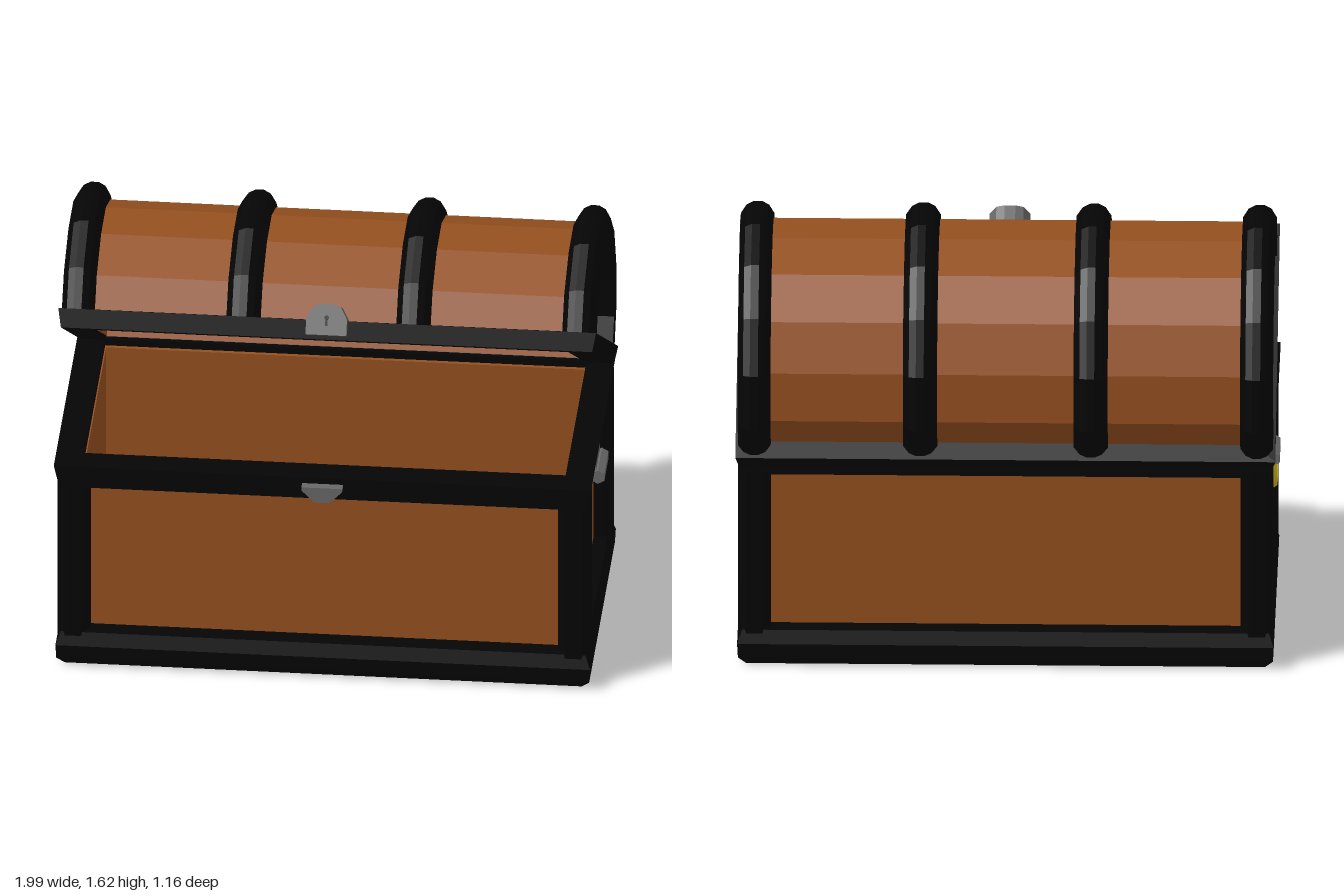
import * as THREE from 'three';

const mat = (color) => new THREE.MeshStandardMaterial({ color, flatShading: true });
const wood = mat(0x95501f), iron = mat(0x050505), steel = mat(0x686868), gold = mat(0xe0c020);

function part(parent, name, geometry, material, x = 0, y = 0, z = 0) {
  const geo = geometry.index ? geometry.toNonIndexed() : geometry;
  geo.computeVertexNormals();
  const mesh = new THREE.Mesh(geo, material);
  mesh.name = name;
  mesh.position.set(x, y, z);
  parent.add(mesh);
}

const shapeOf = (pts) => new THREE.Shape(pts.map(([x, y]) => new THREE.Vector2(x, y)));
const extrude = (shape, depth) => new THREE.ExtrudeGeometry(shape, { depth, bevelEnabled: false });

// Vertical prism from an outline in x and z
function prism(shape, y0, y1) {
  return extrude(shape, y1 - y0).rotateX(Math.PI / 2).translate(0, y1, 0);
}

// Mitred rectangular frame: profile points are [outward offset, y], anticlockwise
function frame(profile, hx, zf, zb) {
  const corners = [[-1, 1], [1, 1], [1, -1], [-1, -1]];
  const n = profile.length, pos = [], idx = [];
  for (const [sx, sz] of corners) {
    for (const [o, y] of profile) pos.push(sx * (hx + o), y, sz > 0 ? zf + o : zb - o);
  }
  for (let j = 0; j < 4; j++) {
    for (let i = 0; i < n; i++) {
      const k = (i + 1) % n, m = (j + 1) % 4;
      const a = j * n + i, b = m * n + i, c = m * n + k, d = j * n + k;
      idx.push(a, b, c, a, c, d);
    }
  }
  const geo = new THREE.BufferGeometry();
  geo.setAttribute('position', new THREE.Float32BufferAttribute(pos, 3));
  geo.setIndex(idx);
  return geo;
}

// Half-round sweep about the x axis: profile points are [radius, x], anticlockwise.
// The feet are pulled in so that the lowest segments stand upright.
function arch(profile) {
  const pts = [...profile, profile[0]].map(([r, x]) => new THREE.Vector2(r, x));
  const geo = new THREE.LatheGeometry(pts, 8, Math.PI, Math.PI).rotateZ(-Math.PI / 2);
  const p = geo.attributes.position;
  for (let i = 0; i < p.count; i++) {
    if (Math.abs(p.getY(i)) < 1e-5) p.setZ(i, p.getZ(i) * 0.94);
  }
  return geo;
}

function buildBody(root) {
  const body = new THREE.Group();
  body.name = 'body';
  root.add(body);

  // Open wooden box
  const walls = shapeOf([[-0.915, -0.4], [0.915, -0.4], [0.915, 0.457], [-0.915, 0.457]]);
  walls.holes.push(shapeOf([[-0.88, -0.365], [-0.88, 0.422], [0.88, 0.422], [0.88, -0.365]]));
  part(body, 'walls', prism(walls, 0.05, 0.83), wood);
  part(body, 'floor', new THREE.BoxGeometry(1.86, 0.098, 0.93), wood, 0, 0.051, 0.0275);

  // Base moulding and top rim
  part(body, 'baseTrim', frame([[-0.03, 0], [0, 0], [0.03, 0.035], [0.033, 0.09],
    [0.015, 0.14], [-0.065, 0.14]], 0.95, 0.51, -0.455), iron);
  part(body, 'topRim', frame([[-0.085, 0.76], [0, 0.76], [0.018, 0.857], [-0.085, 0.857]],
    0.97, 0.535, -0.465), iron);

  // Angle corner posts with chamfered edges
  for (const sx of [-1, 1]) {
    for (const [sz, z] of [[1, 0.53], [-1, -0.475]]) {
      const at = (dx, dz) => [sx * (0.98 - dx), z - sz * dz];
      const post = shapeOf([at(0, 0.03), at(0, 0.105), at(0.03, 0.138), at(0.075, 0.138),
        at(0.075, 0.08), at(0.12, 0.08), at(0.12, 0.04), at(0.09, 0), at(0.03, 0)]);
      part(body, 'cornerPost', prism(post, 0.1, 0.8), iron);
    }
  }

  // Lock catch on the front rim
  const catchShape = shapeOf([[-0.028, 0.768], [0.028, 0.768], [0.075, 0.817], [0.075, 0.83],
    [-0.075, 0.83], [-0.075, 0.817]]);
  part(body, 'lockCatch', extrude(catchShape, 0.06), steel, 0, 0, 0.52);

  // Handle brackets on both ends
  for (const side of [1, -1]) {
    const bracket = new THREE.Group();
    bracket.name = side > 0 ? 'leftBracket' : 'rightBracket';
    bracket.position.z = 0.027;
    bracket.rotation.y = side > 0 ? 0 : Math.PI;
    body.add(bracket);
    const plate = shapeOf([[-0.083, 0.645], [0.083, 0.645], [0.08, 0.675], [0.052, 0.765],
      [-0.052, 0.765], [-0.08, 0.675]]);
    part(bracket, 'bracketPlate', extrude(plate, 0.055).rotateY(Math.PI / 2), steel, 0.91);
    part(bracket, 'bracketRod',
      new THREE.CylinderGeometry(0.028, 0.028, 0.168, 6).rotateX(Math.PI / 2), steel, 0.972, 0.656);
    // Pull ring hangs on the right end only
    if (side < 0) {
      const ring = new THREE.TorusGeometry(0.09, 0.014, 6, 16, Math.PI);
      ring.rotateZ(Math.PI).rotateY(Math.PI / 2).scale(1, 1.25, 1);
      part(bracket, 'pullRing', ring, gold, 0.975, 0.645);
    }
  }
}

function buildLid(root) {
  const lid = new THREE.Group();
  lid.name = 'lid';
  lid.position.set(0, 1.085, -0.048);
  lid.rotation.x = -0.573;
  root.add(lid);

  // Hollow half-barrel with closed ends
  part(lid, 'barrel', arch([[0, -0.92], [0.483, -0.92], [0.483, 0.92], [0, 0.92],
    [0, 0.88], [0.435, 0.88], [0.435, -0.88], [0, -0.88]]), wood);

  part(lid, 'lidRim', frame([[-0.095, -0.015], [0, -0.015], [0.012, 0.055], [-0.085, 0.06]],
    0.977, 0.512, -0.512), iron);

  // Two middle straps and two end straps that wrap over the ends
  for (const side of [-1, 1]) {
    const strap = [[0.46, 0.25], [0.5, 0.25], [0.532, 0.272], [0.545, 0.298], [0.545, 0.327],
      [0.532, 0.353], [0.5, 0.375], [0.46, 0.375]];
    const endStrap = [[0.46, 0.86], [0.5, 0.86], [0.532, 0.88], [0.545, 0.905], [0.545, 0.935],
      [0.532, 0.96], [0.5, 0.98], [0.408, 0.98], [0.408, 0.905], [0.46, 0.905]];
    for (const [name, profile] of [['middleStrap', strap], ['endStrap', endStrap]]) {
      const pts = profile.map(([r, x]) => [r, side * x]);
      part(lid, name, arch(side > 0 ? pts : pts.reverse()), iron);
    }
  }

  // Lock with keyhole
  const lock = shapeOf([[-0.075, 0], [0.075, 0], [0.075, 0.06], [0.05, 0.105], [0.02, 0.115],
    [-0.02, 0.115], [-0.05, 0.105], [-0.075, 0.06]]);
  part(lid, 'lock', extrude(lock, 0.115), steel, 0, 0, 0.44);
  part(lid, 'keyholeTop', new THREE.CylinderGeometry(0.009, 0.009, 0.01, 8).rotateX(Math.PI / 2),
    iron, 0, 0.064, 0.552);
  part(lid, 'keyholeSlot', new THREE.BoxGeometry(0.009, 0.03, 0.01), iron, 0, 0.049, 0.552);
}

export function createModel() {
  const chest = new THREE.Group();
  chest.name = 'treasureChest';
  buildBody(chest);
  buildLid(chest);
  return chest;
}
